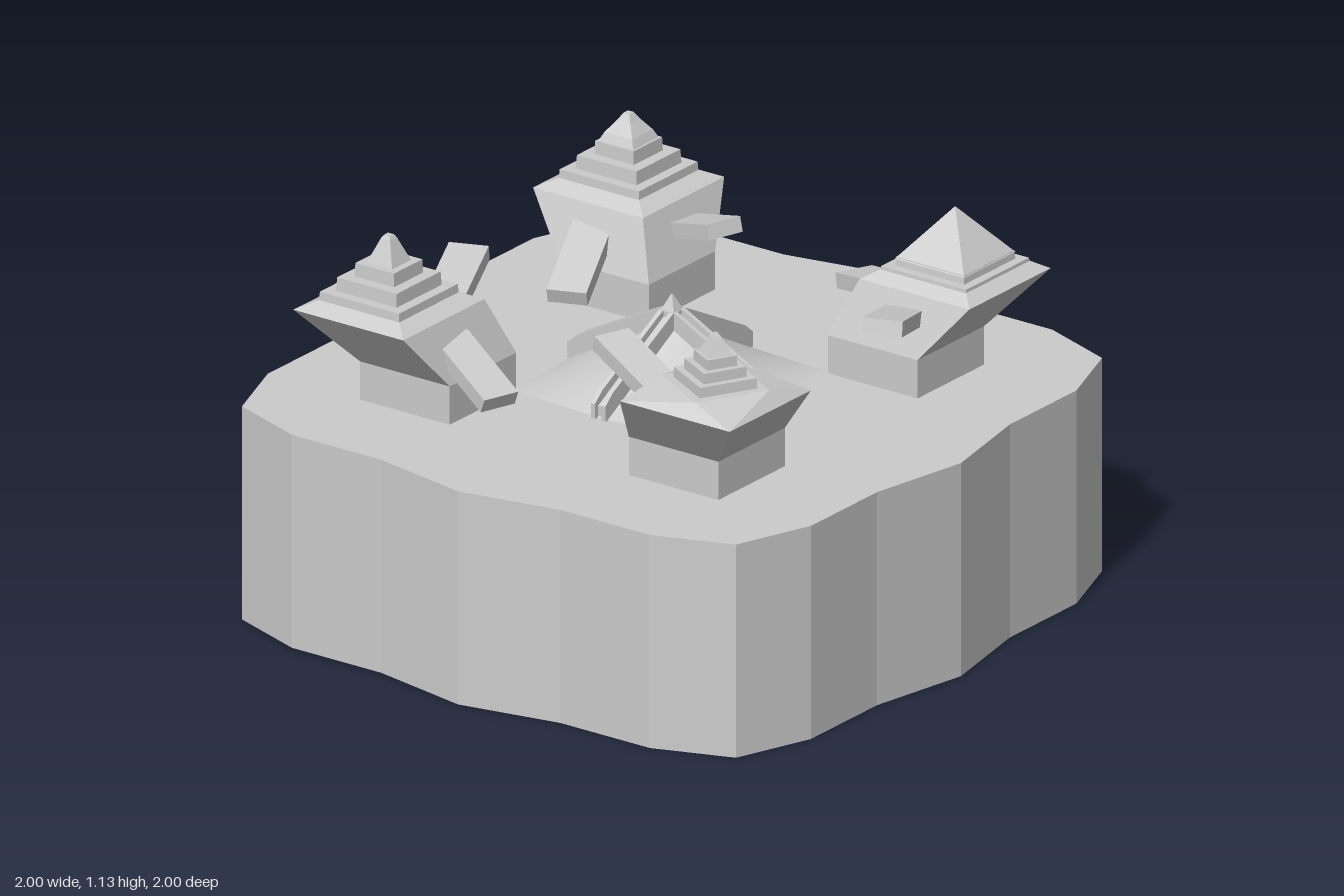
import * as THREE from 'three';

const mat = new THREE.MeshStandardMaterial({ color: 0xcccccc, flatShading: true, side: THREE.DoubleSide });
const smooth = new THREE.MeshStandardMaterial({ color: 0xcccccc, side: THREE.DoubleSide });

function add(parent, name, geometry, material = mat) {
  const mesh = new THREE.Mesh(geometry, material);
  mesh.name = name;
  parent.add(mesh);
  return mesh;
}

// Closed solid through square sections [y, half, cx, cz, turn]
function squareLoft(sections) {
  const pos = [], idx = [];
  for (const [y, half, cx = 0, cz = 0, turn = 0] of sections) {
    for (let k = 0; k < 4; k++) {
      const a = turn + Math.PI / 4 + k * Math.PI / 2, r = half * Math.SQRT2;
      pos.push(cx + r * Math.cos(a), y, cz + r * Math.sin(a));
    }
  }
  for (let s = 0; s < sections.length - 1; s++) {
    for (let k = 0; k < 4; k++) {
      const a = s * 4 + k, b = s * 4 + (k + 1) % 4;
      idx.push(a, a + 4, b, b, a + 4, b + 4);
    }
  }
  const t = (sections.length - 1) * 4;
  idx.push(0, 1, 2, 0, 2, 3, t, t + 2, t + 1, t, t + 3, t + 2);
  const g = new THREE.BufferGeometry();
  g.setAttribute('position', new THREE.Float32BufferAttribute(pos, 3));
  g.setIndex(idx);
  const flat = g.toNonIndexed();
  flat.computeVertexNormals();
  return flat;
}

// Plank running between two points, width kept level
function plank(parent, name, from, to, width, thick) {
  const a = new THREE.Vector3(...from), b = new THREE.Vector3(...to);
  const mesh = add(parent, name, new THREE.BoxGeometry(width, thick, a.distanceTo(b)));
  mesh.position.copy(a).add(b).multiplyScalar(0.5);
  mesh.lookAt(b);
  return mesh;
}

// Wavy-edged ground block
function ground() {
  const quarter = [[0, -1], [0.31, -0.94], [0.62, -0.94], [0.855, -0.855], [0.94, -0.62], [0.94, -0.31]];
  const pts = [];
  for (let q = 0; q < 4; q++) {
    for (const [x, z] of quarter) {
      const v = new THREE.Vector2(x, -z).rotateAround(new THREE.Vector2(), -q * Math.PI / 2);
      pts.push(v);
    }
  }
  const g = new THREE.ExtrudeGeometry(new THREE.Shape(pts), { depth: 0.64, bevelEnabled: false });
  g.rotateX(-Math.PI / 2);
  return g;
}

// Tent surface, straight along both axes and flattening to its corners
function canopy() {
  const g = new THREE.PlaneGeometry(2, 2, 24, 24);
  g.rotateX(-Math.PI / 2);
  const p = g.attributes.position;
  for (let i = 0; i < p.count; i++) {
    const u = p.getX(i), v = p.getZ(i);
    const h = (1 - Math.abs(u)) * (1 - Math.abs(v));
    p.setXYZ(i, u * (0.335 - 0.02 * Math.abs(v)), 0.642 + 0.195 * h, v * (0.335 - 0.02 * Math.abs(u)));
  }
  g.computeVertexNormals();
  return g;
}

// Tapered roof rib: a side profile given a thickness
function ribGeometry(profile, thick) {
  const shape = new THREE.Shape(profile.map(([x, y]) => new THREE.Vector2(x, y)));
  const g = new THREE.ExtrudeGeometry(shape, { depth: thick, bevelEnabled: false });
  return g.translate(0, 0, -thick / 2);
}

const bellSpire = [[1.05, 0.06], [1.075, 0.048], [1.11, 0.022], [1.13, 0.01]];
const flatSpire = [[1.04, 0.048], [1.12, 0.016], [1.13, 0.01]];
const steps = [[0.92, 0.97, 0.14], [0.97, 1.01, 0.105], [1.01, 1.05, 0.068]];

// Each tower: side signs, roof tiers [bottom, top, half], spire, turn, and its two planks
const towers = [
  { sx: -1, sz: -1, tiers: steps, spire: bellSpire,
    planks: [[[-0.38, 0.84, -0.545], [-0.17, 0.905, -0.475]], [[-0.55, 0.85, -0.38], [-0.445, 0.75, -0.11]]] },
  { sx: -1, sz: 1, tiers: steps, spire: flatSpire,
    planks: [[[-0.38, 0.85, 0.53], [-0.145, 0.745, 0.61]], [[-0.52, 0.85, 0.38], [-0.635, 0.91, 0.09]]] },
  { sx: 1, sz: -1, tiers: [[0.92, 0.955, 0.15], [0.955, 0.98, 0.12]],
    spire: [[0.975, 0.12], [1.12, 0.002]],
    planks: [[[0.38, 0.84, -0.54], [0.15, 0.78, -0.65]], [[0.53, 0.85, -0.38], [0.61, 0.9, -0.16]]] },
  { sx: 1, sz: 1, turn: 0.5, tiers: [[0.96, 0.99, 0.088], [0.99, 1.02, 0.066], [1.02, 1.05, 0.046]],
    spire: [[1.05, 0.036], [1.1, 0.012], [1.11, 0.006]],
    planks: [[[0.38, 0.85, 0.52], [0.095, 0.93, 0.415]], [[0.55, 0.85, 0.38], [0.425, 0.75, 0.16]]] },
];

function buildTower({ sx, sz, tiers, spire, turn = 0, planks }) {
  const tower = new THREE.Group();
  tower.name = 'tower';
  const cx = 0.565 * sx, cz = 0.56 * sz, lx = 0.465 * sx, lz = 0.465 * sz;
  add(tower, 'towerBase', squareLoft([[0.63, 0.155, lx, lz], [0.755, 0.155, lx, lz]]));
  add(tower, 'leaningBody', squareLoft([[0.755, 0.155, lx, lz], [0.92, 0.19, cx, cz]]));
  // Low roof slope, twisted where the roof is turned
  const [y0, , half0] = tiers[0];
  const eaves = turn ? [y0, half0 + 0.025, cx, cz, turn] : [0.945, half0, cx, cz];
  add(tower, 'eaves', squareLoft([[0.92, 0.19, cx, cz], eaves]));
  for (const [a, b, h] of tiers) {
    add(tower, 'roofStep', squareLoft([[a, h, cx, cz, turn], [b, h * 0.98, cx, cz, turn]]));
  }
  add(tower, 'spire', squareLoft(spire.map(([y, h]) => [y, h, cx, cz, turn])));
  for (const [from, to] of planks) plank(tower, 'plank', from, to, 0.115, 0.045);
  return tower;
}

export function createModel() {
  const model = new THREE.Group();
  model.name = 'islandVillage';
  add(model, 'ground', ground());
  add(model, 'canopy', canopy(), smooth);

  // Four double ribs crossing at the canopy peak
  const ribs = new THREE.Group();
  ribs.name = 'ribs';
  const outer = ribGeometry([[0, 0.81], [0.345, 0.635], [0.345, 0.685], [0.31, 0.715], [0.03, 0.86], [0, 0.86]], 0.014);
  const core = ribGeometry([[0, 0.8], [0.33, 0.635], [0.33, 0.675], [0.02, 0.845], [0, 0.85]], 0.03);
  for (let q = 0; q < 4; q++) {
    const arm = new THREE.Group();
    arm.name = 'rib';
    arm.rotation.y = q * Math.PI / 2;
    for (const side of [-1, 1]) add(arm, 'ribBoard', outer).position.z = side * 0.018;
    add(arm, 'ribCore', core);
    ribs.add(arm);
  }
  add(ribs, 'peak', squareLoft([[0.8, 0.026], [0.855, 0.024], [0.905, 0.002]]));
  model.add(ribs);

  for (const t of towers) model.add(buildTower(t));
  return model;
}
